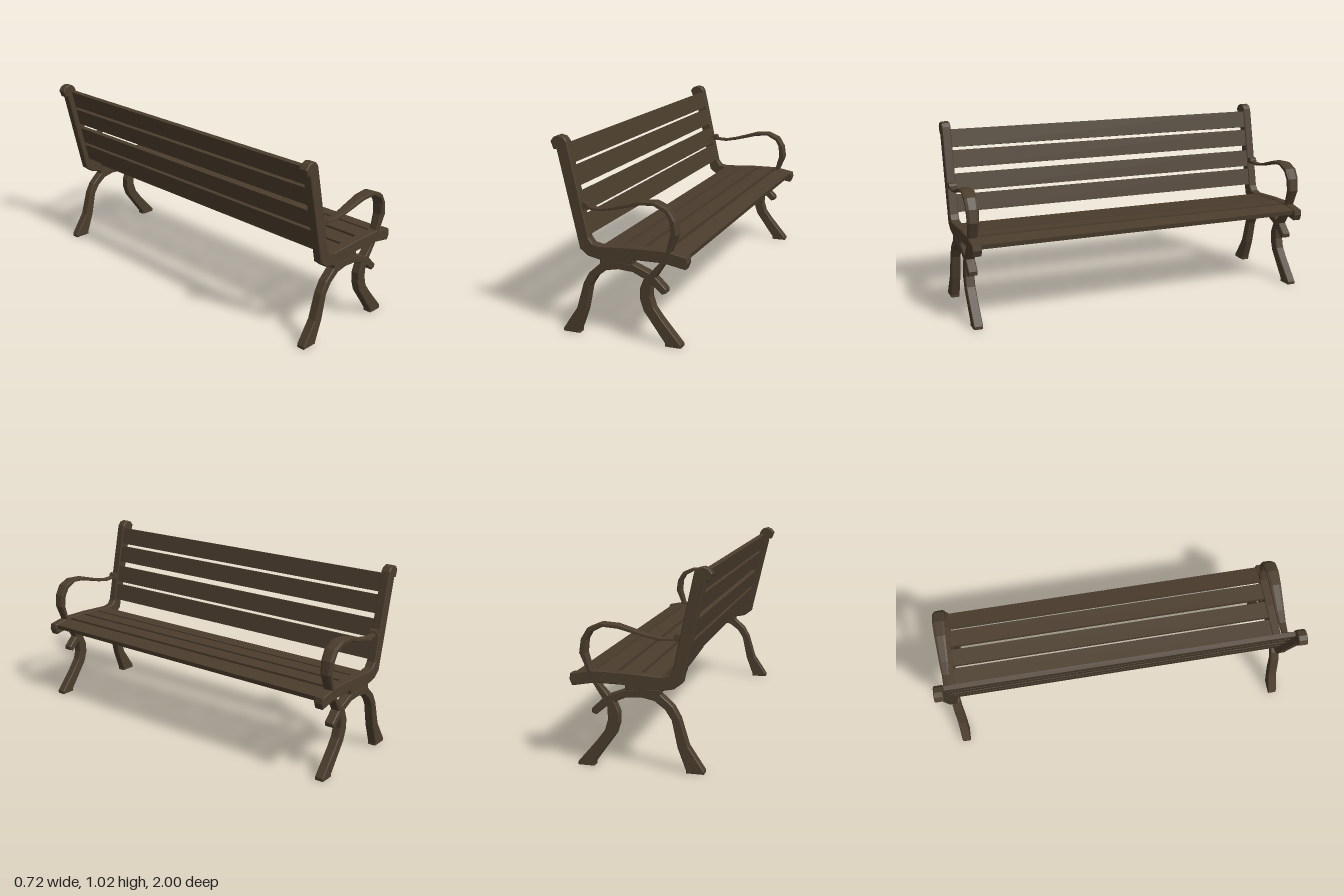
import * as THREE from 'three';

// Cast side profile of back post and seat rail (x, y)
const RAIL = [[-.36, .985], [-.343, 1.008], [-.318, 1.017], [-.288, 1.01], [-.272, .99], [-.167, .512],
  [-.146, .485], [-.108, .477], [.073, .488], [.243, .49], [.353, .469], [.358, .44], [.345, .407],
  [.229, .428], [.073, .426], [.07, .4], [-.108, .407], [-.173, .42], [-.216, .453], [-.329, .949], [-.345, .946]];

// Rear leg running into the curved brace under the seat
const REAR_LEG = [[-.323, 0], [-.323, .016], [-.243, .137], [-.202, .275], [-.17, .332], [-.108, .388],
  [-.108, .412], [.07, .404], [.159, .369], [.189, .35], [.245, .296], [.243, .275], [.221, .267],
  [.167, .313], [.135, .334], [.067, .364], [-.011, .369], [-.075, .356], [-.129, .315], [-.162, .264],
  [-.191, .127], [-.232, .016], [-.232, 0]];

// Front leg sweeping up into the armrest: rear edge x, y, front edge x, y, half width, corner cut
const ARM = [[.235, 0, .321, 0, .025, .15], [.235, .016, .321, .016, .025, .15], [.124, .17, .218, .137, .025, .15],
  [.105, .229, .178, .191, .025, .15], [.105, .283, .162, .245, .025, .15], [.127, .337, .164, .307, .025, .15],
  [.159, .369, .189, .35, .025, .2], [.21, .426, .251, .445, .025, .3], [.243, .49, .275, .502, .026, .4],
  [.267, .574, .305, .574, .03, .4], [.261, .641, .294, .644, .033, .4], [.24, .679, .259, .701, .035, .4],
  [.183, .709, .191, .73, .035, .4], [.108, .703, .105, .725, .031, .4], [-.035, .666, -.038, .682, .025, .4],
  [-.11, .652, -.108, .668, .02, .4], [-.183, .655, -.173, .671, .017, .4]];

const FRAME_Z = 0.964, HALF = 0.025, BEVEL = 0.004;

function plate(points) {
  const shape = new THREE.Shape(points.map(([x, y]) => new THREE.Vector2(x, y)));
  const geo = new THREE.ExtrudeGeometry(shape, {
    depth: 2 * (HALF - BEVEL), bevelEnabled: true, bevelSegments: 1,
    bevelThickness: BEVEL, bevelSize: BEVEL, bevelOffset: -BEVEL,
  });
  return geo.translate(0, 0, BEVEL - HALF);
}

// Loft of chamfered rectangles, faceted
function loft(sections) {
  const pos = [], index = [], n = 8;
  for (const [ix, iy, ox, oy, w, cut] of sections) {
    const k = 1 - cut;
    const ring = [[1, k], [k, 1], [-k, 1], [-1, k], [-1, -k], [-k, -1], [k, -1], [1, -k]];
    for (const [u, v] of ring) {
      pos.push((ix + ox) / 2 + u * (ox - ix) / 2, (iy + oy) / 2 + u * (oy - iy) / 2, -v * w);
    }
  }
  const last = (sections.length - 1) * n;
  for (let i = 0; i < last; i += n) {
    for (let j = 0; j < n; j++) {
      const a = i + j, b = i + (j + 1) % n;
      index.push(a, b, b + n, a, b + n, a + n);
    }
  }
  for (let j = 1; j < n - 1; j++) {
    index.push(0, j + 1, j, last, last + j, last + j + 1);
  }
  const geo = new THREE.BufferGeometry();
  geo.setAttribute('position', new THREE.Float32BufferAttribute(pos, 3));
  geo.setIndex(index);
  const flat = geo.toNonIndexed();
  flat.computeVertexNormals();
  return flat;
}

export function createModel() {
  const model = new THREE.Group();
  model.name = 'parkBench';
  const brown = new THREE.MeshStandardMaterial({ color: 0x4b3d2d });
  brown.name = 'darkBrown';

  const add = (parent, name, geo) => {
    const mesh = new THREE.Mesh(geo, brown);
    mesh.name = name;
    parent.add(mesh);
    return mesh;
  };

  // End frames, one per side
  const railGeo = plate(RAIL), legGeo = plate(REAR_LEG), armGeo = loft(ARM);
  const knobGeo = new THREE.CylinderGeometry(.019, .019, .042, 8).toNonIndexed();
  knobGeo.computeVertexNormals();
  knobGeo.rotateX(Math.PI / 2);
  for (const side of [-1, 1]) {
    const frame = new THREE.Group();
    frame.name = side > 0 ? 'endFrameFront' : 'endFrameRear';
    frame.position.z = side * FRAME_Z;
    add(frame, 'backPostAndSeatRail', railGeo);
    add(frame, 'rearLegAndBrace', legGeo);
    add(frame, 'frontLegAndArmrest', armGeo);
    add(frame, 'armrestKnob', knobGeo).position.set(-.189, .672, 0);
    model.add(frame);
  }

  // Backrest slats, leaning with the posts
  const length = 2 * (FRAME_Z - HALF) + .01;
  const backGeo = new THREE.BoxGeometry(.025, .1, length);
  for (const y of [.925, .81, .682, .567]) {
    const slat = add(model, 'backSlat', backGeo);
    slat.position.set(-.187 - .22 * (y - .519), y, 0);
    slat.rotation.z = Math.atan(.22);
  }

  // Seat slats, following the curve of the rail: x, y, tilt
  const seatGeo = new THREE.BoxGeometry(.098, .025, length);
  for (const [x, y, tilt] of [[-.058, .463, .06], [.056, .469, .05], [.175, .472, .01], [.291, .462, -.17]]) {
    const slat = add(model, 'seatSlat', seatGeo);
    slat.position.set(x, y, 0);
    slat.rotation.z = tilt;
  }
  return model;
}
